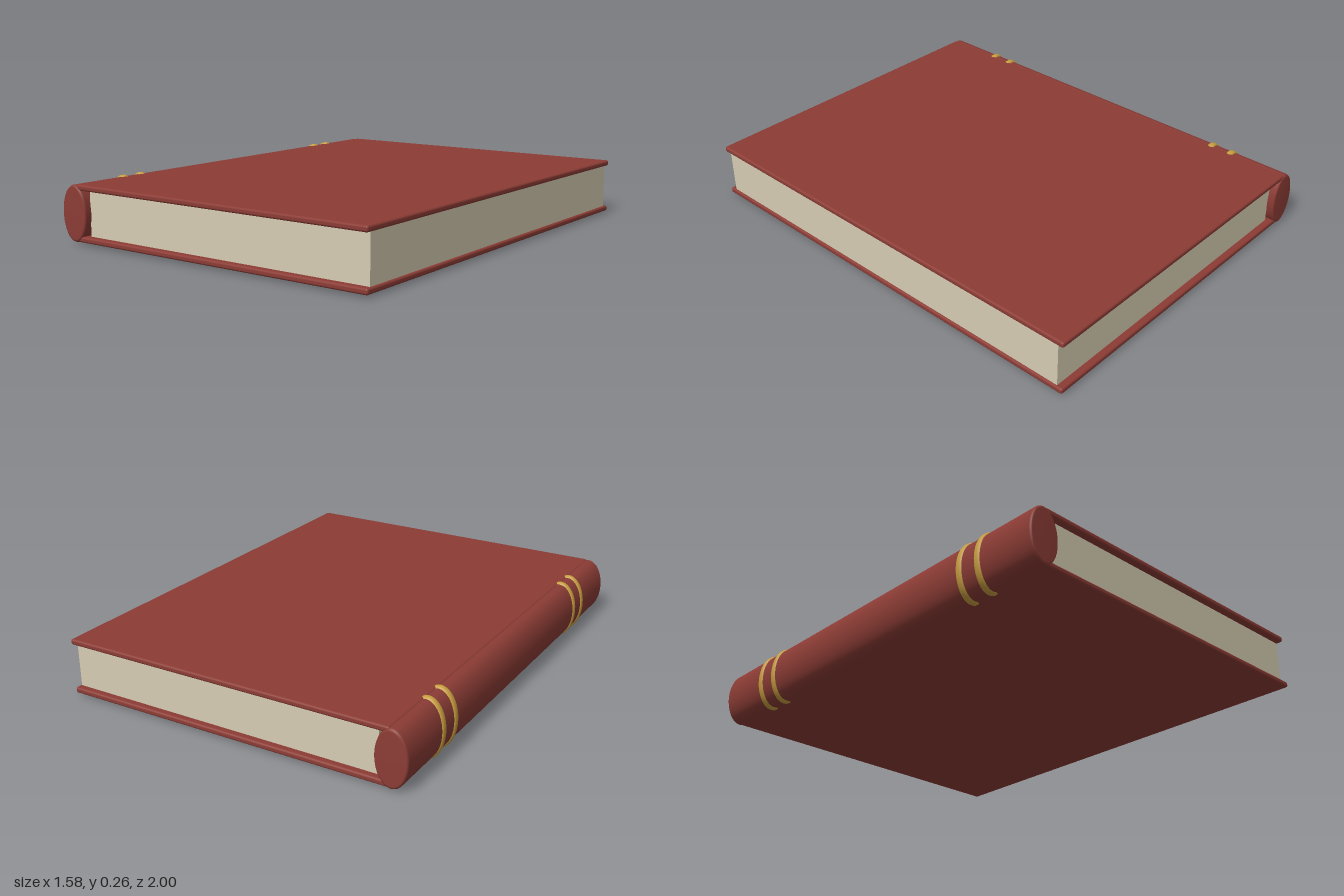
import * as THREE from 'three';
import { RoundedBoxGeometry } from 'three/addons/geometries/RoundedBoxGeometry.js';

export function createModel() {
  const book = new THREE.Group();
  book.name = 'book';

  const material = (name, color) => {
    const m = new THREE.MeshStandardMaterial({ color });
    m.name = name;
    return m;
  };
  const leather = material('red leather', 0x8c3c35);
  const paper = material('cream paper', 0xd6ccb2);
  const gold = material('gold', 0xc79d3f);

  const add = (name, geometry, mat, x, y, z) => {
    const mesh = new THREE.Mesh(geometry, mat);
    mesh.name = name;
    mesh.position.set(x, y, z);
    book.add(mesh);
    return mesh;
  };

  // Turns a profile of [radius, z] points into an oval body lying along z
  const oval = (profile, rx, ry) => {
    const points = profile.map(([r, z]) => new THREE.Vector2(r, z));
    const geometry = new THREE.LatheGeometry(points, 40);
    geometry.rotateX(Math.PI / 2);
    geometry.scale(rx, ry, 1);
    return geometry;
  };

  const spineX = -0.715, midY = 0.13;

  // Cover boards
  for (const [name, y] of [['bottomCover', 0.0225], ['topCover', 0.242]]) {
    add(name, new RoundedBoxGeometry(1.49, 0.025, 1.992, 3, 0.009), leather, 0.04, y, 0);
  }

  // Page block, set back from the board edges
  add('pages', new THREE.BoxGeometry(1.425, 0.2, 1.934), paper, 0.0635, 0.1325, 0);

  // Oval spine with softened rims
  const spine = [[0, -1], [0.9, -1], [0.97, -0.997], [1, -0.99],
    [1, 0.99], [0.97, 0.997], [0.9, 1], [0, 1]];
  add('spine', oval(spine, 0.07, 0.122), leather, spineX, midY, 0);

  // Raised gold bands, in a pair near each end of the spine
  const band = [[0.97, -0.016], [1.03, -0.013], [1.065, -0.006],
    [1.065, 0.006], [1.03, 0.013], [0.97, 0.016]];
  const bandGeometry = oval(band, 0.071, 0.122);
  for (const side of [-1, 1]) {
    for (const z of [0.62, 0.72]) add('spineBand', bandGeometry, gold, spineX, midY, side * z);
  }

  return book;
}
